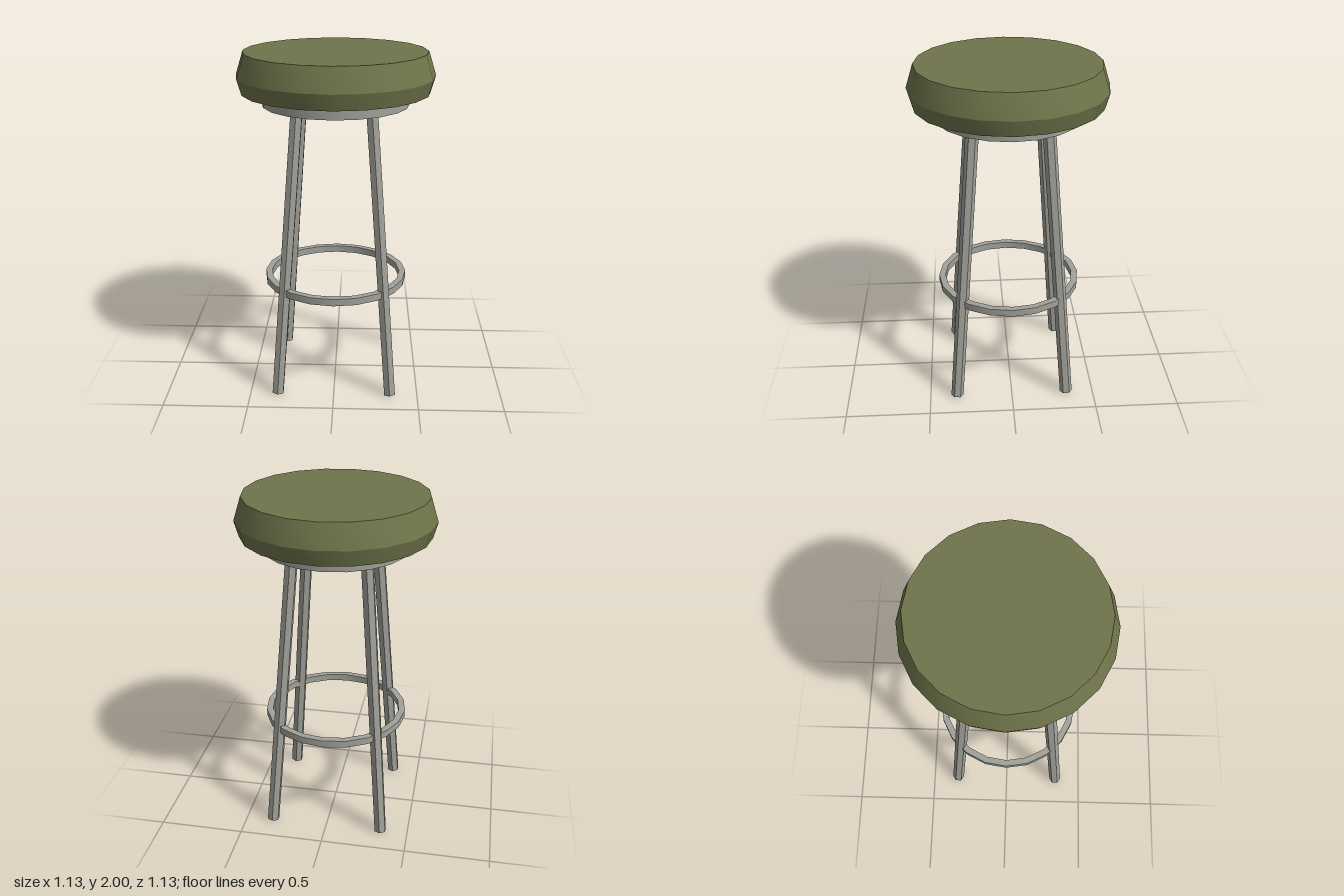
import * as THREE from 'three';
import { toCreasedNormals } from 'three/addons/utils/BufferGeometryUtils.js';

const SIDES = 20;

export function createModel() {
  const stool = new THREE.Group();
  stool.name = 'stool';

  const olive = new THREE.MeshStandardMaterial({ color: 0x6f754b });
  olive.name = 'olive upholstery';
  const metal = new THREE.MeshStandardMaterial({ color: 0xa2a29c });
  metal.name = 'grey metal';

  // Smooth around the axis, sharp along the profile edges
  const addTurned = (name, profile, material) => {
    const points = profile.map(([r, y]) => new THREE.Vector2(r, y));
    const mesh = new THREE.Mesh(toCreasedNormals(new THREE.LatheGeometry(points, SIDES), 0.4), material);
    mesh.name = name;
    stool.add(mesh);
  };

  // Padded seat with a bulging rim
  addTurned('cushion', [[0, 1.775], [0.54, 1.775], [0.565, 1.865], [0.522, 2], [0, 2]], olive);

  // Plate under the cushion
  addTurned('seatPlate', [[0, 1.7], [0.422, 1.7], [0.422, 1.775], [0, 1.775]], metal);

  // Foot ring with a rectangular section
  addTurned('footRing', [[0.388, 0.625], [0.426, 0.625], [0.426, 0.667], [0.388, 0.667], [0.388, 0.625]], metal);

  // Four splayed hexagonal legs
  const up = new THREE.Vector3(0, 1, 0);
  for (const sx of [-1, 1]) {
    for (const sz of [-1, 1]) {
      const foot = new THREE.Vector3(sx * 0.336, 0.004, sz * 0.336);
      const top = new THREE.Vector3(sx * 0.206, 1.72, sz * 0.206);
      const axis = top.clone().sub(foot);
      const geometry = toCreasedNormals(new THREE.CylinderGeometry(0.037, 0.037, axis.length(), 6), 0.4);
      const leg = new THREE.Mesh(geometry, metal);
      leg.name = (sz > 0 ? 'front' : 'back') + (sx > 0 ? 'Left' : 'Right') + 'Leg';
      leg.position.copy(foot).add(top).multiplyScalar(0.5);
      leg.quaternion.setFromUnitVectors(up, axis.normalize());
      stool.add(leg);
    }
  }

  return stool;
}
